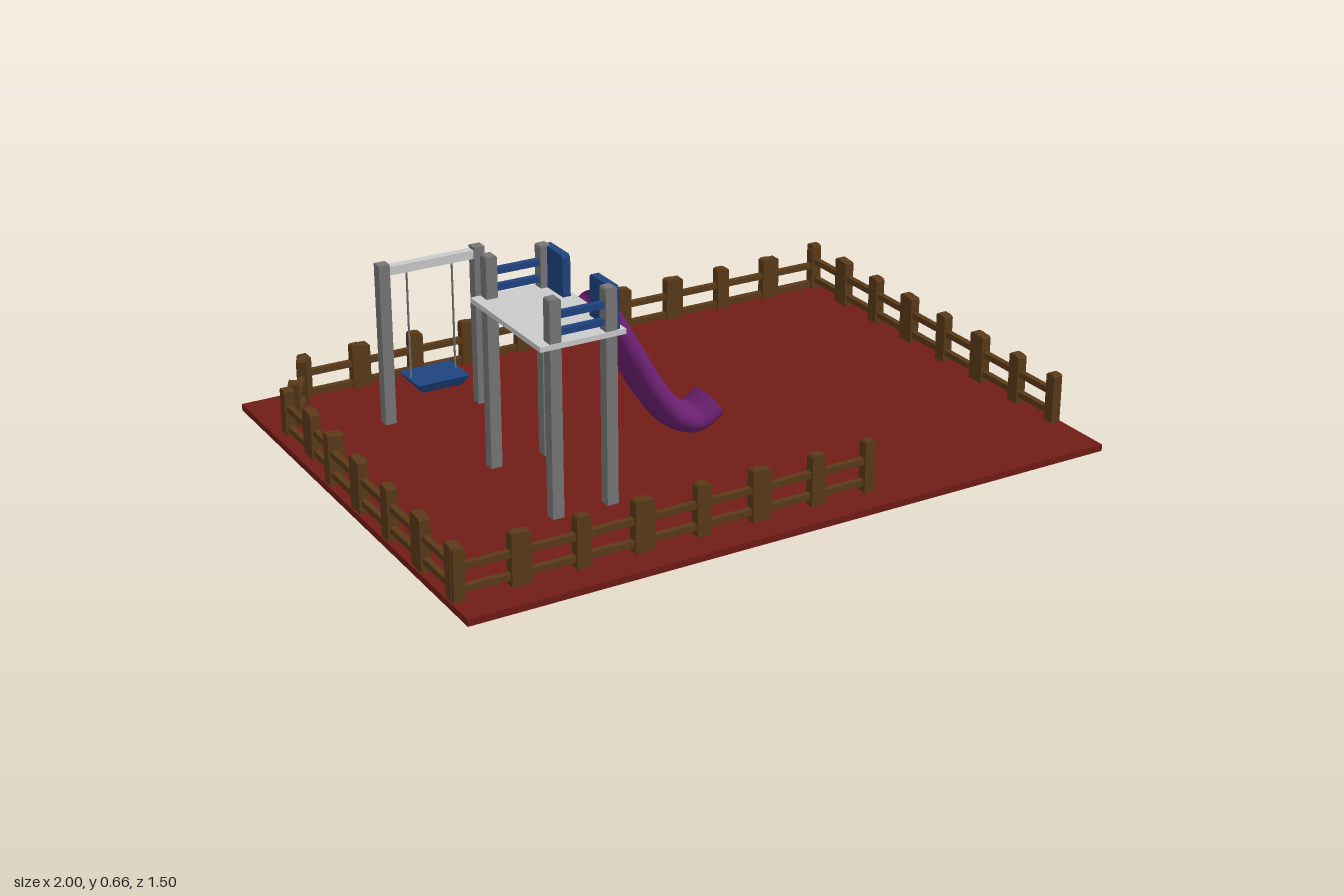
import * as THREE from 'three';

const mat = (color, side = THREE.FrontSide) => new THREE.MeshStandardMaterial({ color, side });

export function createModel() {
  const model = new THREE.Group();
  const red = mat(0x701c16), wood = mat(0x5a3a18), blue = mat(0x1f4480);
  const steel = mat(0x777777), pale = mat(0xcccccc), purple = mat(0x6a2070, THREE.DoubleSide);

  const add = (parent, name, geometry, material, x = 0, y = 0, z = 0) => {
    const mesh = new THREE.Mesh(geometry, material);
    mesh.name = name;
    mesh.position.set(x, y, z);
    parent.add(mesh);
    return mesh;
  };
  // Box given by its limits on each axis
  const box = (parent, name, material, [x0, x1], [y0, y1], [z0, z1]) =>
    add(parent, name, new THREE.BoxGeometry(x1 - x0, y1 - y0, z1 - z0), material,
      (x0 + x1) / 2, (y0 + y1) / 2, (z0 + z1) / 2);
  const group = (name) => {
    const g = new THREE.Group();
    g.name = name;
    model.add(g);
    return g;
  };
  // Plate with clipped top corners, standing on y = 0 and centred on x and z
  const clippedPlate = (w, h, d, c) => {
    const s = new THREE.Shape();
    s.moveTo(-w / 2, 0);
    s.lineTo(w / 2, 0);
    s.lineTo(w / 2, h - c);
    s.lineTo(w / 2 - c, h);
    s.lineTo(-w / 2 + c, h);
    s.lineTo(-w / 2, h - c);
    return new THREE.ExtrudeGeometry(s, { depth: d, bevelEnabled: false }).translate(0, 0, -d / 2);
  };

  // Ground
  box(model, 'ground', red, [-1, 1], [0.01, 0.03], [-0.75, 0.75]);

  // Fence: runs of panels, each with two posts and two rails
  const postGeometry = clippedPlate(0.034, 0.162, 0.03, 0.005);
  const fenceRun = (name, [x0, z0], [x1, z1], panels, base) => {
    const run = group(name);
    const length = Math.hypot(x1 - x0, z1 - z0), step = length / panels;
    run.position.set(x0, base, z0);
    run.rotation.y = -Math.atan2(z1 - z0, x1 - x0);
    for (let i = 0; i < panels; i++) {
      const a = i * step + (i % 2 ? 0.012 : 0.004);
      const b = (i + 1) * step - (i % 2 ? 0.004 : 0.012);
      for (const x of [a, b]) add(run, 'fencePost', postGeometry, wood, x, x === a ? 0 : 0.002, 0);
      for (const y of [0.043, 0.106])
        box(run, 'fenceRail', wood, [a, b], [y - 0.009, y + 0.009], [-0.009, 0.009]);
    }
  };
  fenceRun('backFence', [-0.82, -0.705], [0.98, -0.69], 10, 0);
  fenceRun('leftFence', [0.98, -0.7], [0.98, 0.56], 7, 0.015);
  fenceRun('frontFence', [-0.98, 0.645], [0.27, 0.65], 7, 0.015);
  fenceRun('rightFence', [-0.98, -0.13], [-0.98, 0.635], 4, 0.02);
  fenceRun('rightBackFence', [-0.955, -0.5], [-0.955, -0.14], 2, 0.004);
  fenceRun('cornerFence', [-0.92, -0.53], [-0.83, -0.68], 1, 0.004);

  // Swing
  const swing = group('swing');
  const swingZ = -0.414;
  for (const x of [-0.68, -0.382])
    box(swing, 'swingPost', steel, [x - 0.017, x + 0.017], [0.02, 0.52], [swingZ - 0.017, swingZ + 0.017]);
  box(swing, 'swingBeam', pale, [-0.663, -0.399], [0.485, 0.511], [swingZ - 0.013, swingZ + 0.013]);
  for (const x of [-0.605, -0.463])
    add(swing, 'swingRope', new THREE.CylinderGeometry(0.003, 0.003, 0.35, 6), steel, x, 0.32, swingZ);
  // Seat narrows toward its underside
  const seat = new THREE.BoxGeometry(0.165, 0.03, 0.13);
  const p = seat.attributes.position;
  for (let i = 0; i < p.count; i++)
    if (p.getY(i) < 0) p.setXYZ(i, p.getX(i) * 0.75, p.getY(i), p.getZ(i) * 0.75);
  seat.computeVertexNormals();
  add(swing, 'swingSeat', seat, blue, -0.533, 0.14, swingZ + 0.008);

  // Tower
  const tower = group('tower');
  box(tower, 'platform', pale, [-0.595, -0.34], [0.52, 0.535], [-0.022, 0.383]);
  const towerPost = clippedPlate(0.034, 0.637, 0.034, 0.004);
  for (const z of [0, 0.363]) {
    for (const x of [-0.548, -0.382]) add(tower, 'towerPost', towerPost, steel, x, 0.02, z);
    for (const y of [0.56, 0.608])
      box(tower, 'guardRail', blue, [-0.54, -0.38], [y - 0.009, y + 0.009], [z - 0.009, z + 0.009]);
  }
  for (const z of [0.045, 0.315]) {
    const panel = add(tower, 'guardPanel', clippedPlate(0.12, 0.12, 0.024, 0.008), blue, -0.367, 0.535, z);
    panel.rotation.y = Math.PI / 2;
  }

  // Slide: a wide oval tube following a curved path
  const path = new THREE.CatmullRomCurve3([
    [-0.33, 0.535], [-0.285, 0.475], [-0.22, 0.36], [-0.15, 0.24],
    [-0.085, 0.16], [-0.02, 0.132], [0.04, 0.163],
  ].map(([x, y]) => new THREE.Vector3(x, y, 0)));
  const tube = new THREE.TubeGeometry(path, 40, 0.042, 32).scale(1, 1, 0.07 / 0.042);
  add(model, 'slide', tube, purple, 0, 0, 0.18);

  return model;
}
